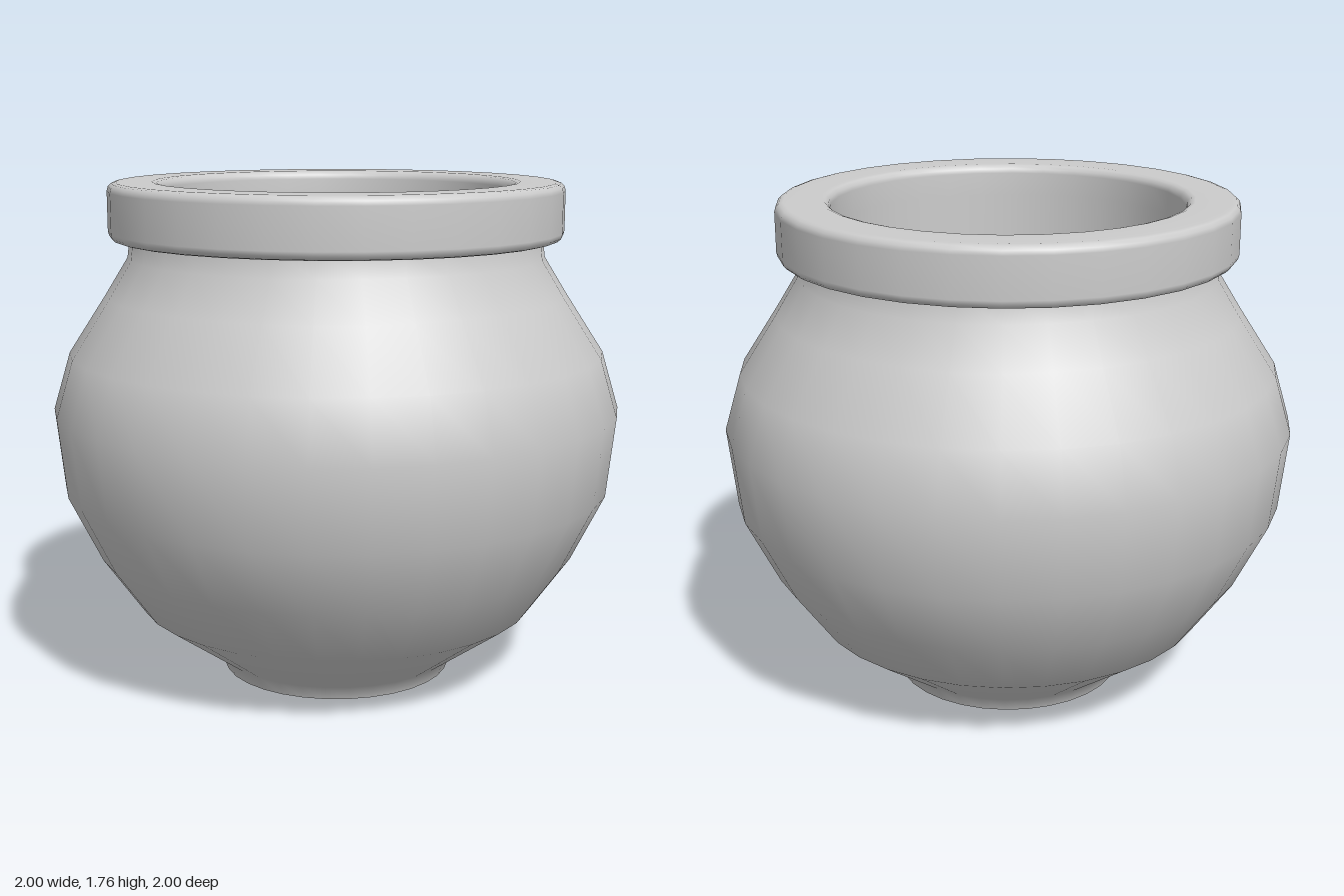
import * as THREE from 'three';

const SEGMENTS = 32;

export function createModel() {
  const pot = new THREE.Group();
  pot.name = 'pot';
  const clay = new THREE.MeshStandardMaterial({ color: 0xcccccc, side: THREE.DoubleSide });

  // Revolve a [radius, height] profile into a named part
  const turn = (name, profile) => {
    const points = profile.map(([r, y]) => new THREE.Vector2(r, y));
    const mesh = new THREE.Mesh(new THREE.LatheGeometry(points, SEGMENTS), clay);
    mesh.name = name;
    pot.add(mesh);
  };

  // Outer wall, from the open foot up to the neck
  turn('outerWall', [
    [0.41, 0], [0.43, 0.05], [0.71, 0.25], [0.855, 0.455], [0.97, 0.69],
    [1, 0.97], [0.94, 1.17], [0.81, 1.37], [0.73, 1.5], [0.72, 1.58],
  ]);

  // Collar ring with rounded edges, open where it meets the bowl
  const inner = 0.61, outer = 0.795, bottom = 1.562, top = 1.76, bevel = 0.03;
  const bowlTop = 1.65;
  const rim = [[inner, bottom]];
  const corners = [
    [outer - bevel, bottom + bevel, -90], [outer - bevel, top - bevel, 0],
    [inner + bevel, top - bevel, 90],
  ];
  for (const [r, y, start] of corners) {
    for (let i = 0; i <= 3; i++) {
      const a = THREE.MathUtils.degToRad(start + i * 30);
      rim.push([r + bevel * Math.cos(a), y + bevel * Math.sin(a)]);
    }
  }
  rim.push([inner, bowlTop]);
  turn('rim', rim);

  // Inner bowl: straight wall below the mouth, then a rounded floor
  const floorY = 0.005, depth = 0.38, steps = 10;
  const bowl = [[inner, bowlTop], [inner, 1]];
  for (let i = 0; i <= steps; i++) {
    const a = (i / steps) * Math.PI / 2;
    bowl.push([inner * Math.cos(a), floorY + depth * (1 - Math.sin(a))]);
  }
  turn('innerBowl', bowl);

  return pot;
}
